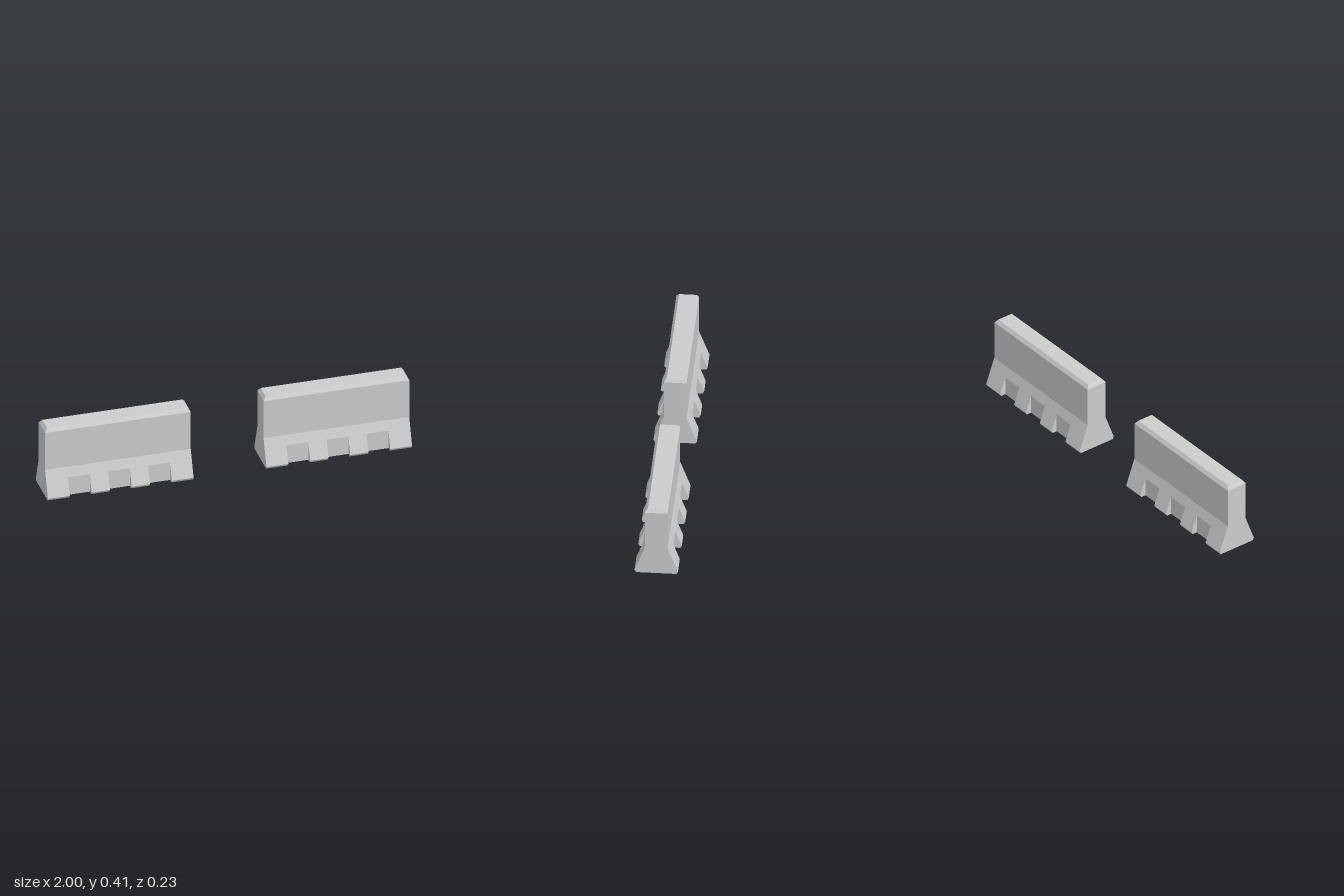
import * as THREE from 'three';

const HALF_LENGTH = 0.4;
const CAP_INSET = 0.385 / 0.4;
// Lengthwise stations: solid feet alternate with drainage notches
const STATIONS = [-0.4, -0.28, -0.16, -0.06, 0.06, 0.16, 0.28, 0.4];
// Half cross-sections as [z, y], from the bottom centre to the top centre
const UPPER = [[0.08, 0.1065], [0.06, 0.16], [0.06, 0.385], [0.045, 0.405], [0, 0.405]];
const FOOT = [[0, 0], [0.107, 0], [0.115, 0.013], ...UPPER];
const NOTCH = [[0, 0], [0.08, 0], ...UPPER];

// One long half of a barrier; the other half is the same turned about y
function halfBarrierGeometry() {
  const positions = [];
  // The top edge is drawn in lengthwise to bevel the ends
  const point = (x, [z, y]) => new THREE.Vector3(y > 0.4 ? x * CAP_INSET : x, y, z);
  const triangle = (a, b, c) => {
    if (new THREE.Triangle(a, b, c).getArea() < 1e-8) return;
    for (const p of [a, b, c]) positions.push(p.x, p.y, p.z);
  };
  const quad = (a, b, c, d) => {
    triangle(a, b, c);
    triangle(a, c, d);
  };

  // Bottom, slopes, side and top, section by section
  for (let s = 0; s < STATIONS.length - 1; s++) {
    const [x0, x1] = [STATIONS[s], STATIONS[s + 1]];
    const profile = s % 2 ? NOTCH : FOOT;
    for (let i = 0; i < profile.length - 1; i++) {
      const [p, q] = [profile[i], profile[i + 1]];
      quad(point(x0, p), point(x1, p), point(x1, q), point(x0, q));
    }
  }

  // Cheeks of the notches
  for (let s = 1; s < STATIONS.length - 1; s++) {
    const corners = [[0.08, 0], ...FOOT.slice(1, 4)].map((p) => point(STATIONS[s], p));
    if (s % 2) corners.reverse();
    quad(...corners);
  }

  // End walls with their bevel
  for (const x of [-HALF_LENGTH, HALF_LENGTH]) {
    for (let i = 0; i < FOOT.length - 1; i++) {
      const [p, q] = [FOOT[i], FOOT[i + 1]];
      const corners = [point(x, [0, p[1]]), point(x, [0, q[1]]), point(x, q), point(x, p)];
      if (x < 0) corners.reverse();
      quad(...corners);
    }
  }

  const geometry = new THREE.BufferGeometry();
  geometry.setAttribute('position', new THREE.Float32BufferAttribute(positions, 3));
  geometry.computeVertexNormals();
  return geometry;
}

export function createModel() {
  const model = new THREE.Group();
  model.name = 'concreteBarriers';
  const material = new THREE.MeshStandardMaterial({ color: 0xcccccc, flatShading: true });
  const geometry = halfBarrierGeometry();

  for (const side of [-1, 1]) {
    const barrier = new THREE.Group();
    barrier.name = side < 0 ? 'rightBarrier' : 'leftBarrier';
    barrier.position.x = side * 0.6;
    const front = new THREE.Mesh(geometry, material);
    front.name = 'frontHalf';
    const back = new THREE.Mesh(geometry, material);
    back.name = 'backHalf';
    back.rotation.y = Math.PI;
    barrier.add(front, back);
    model.add(barrier);
  }
  return model;
}
